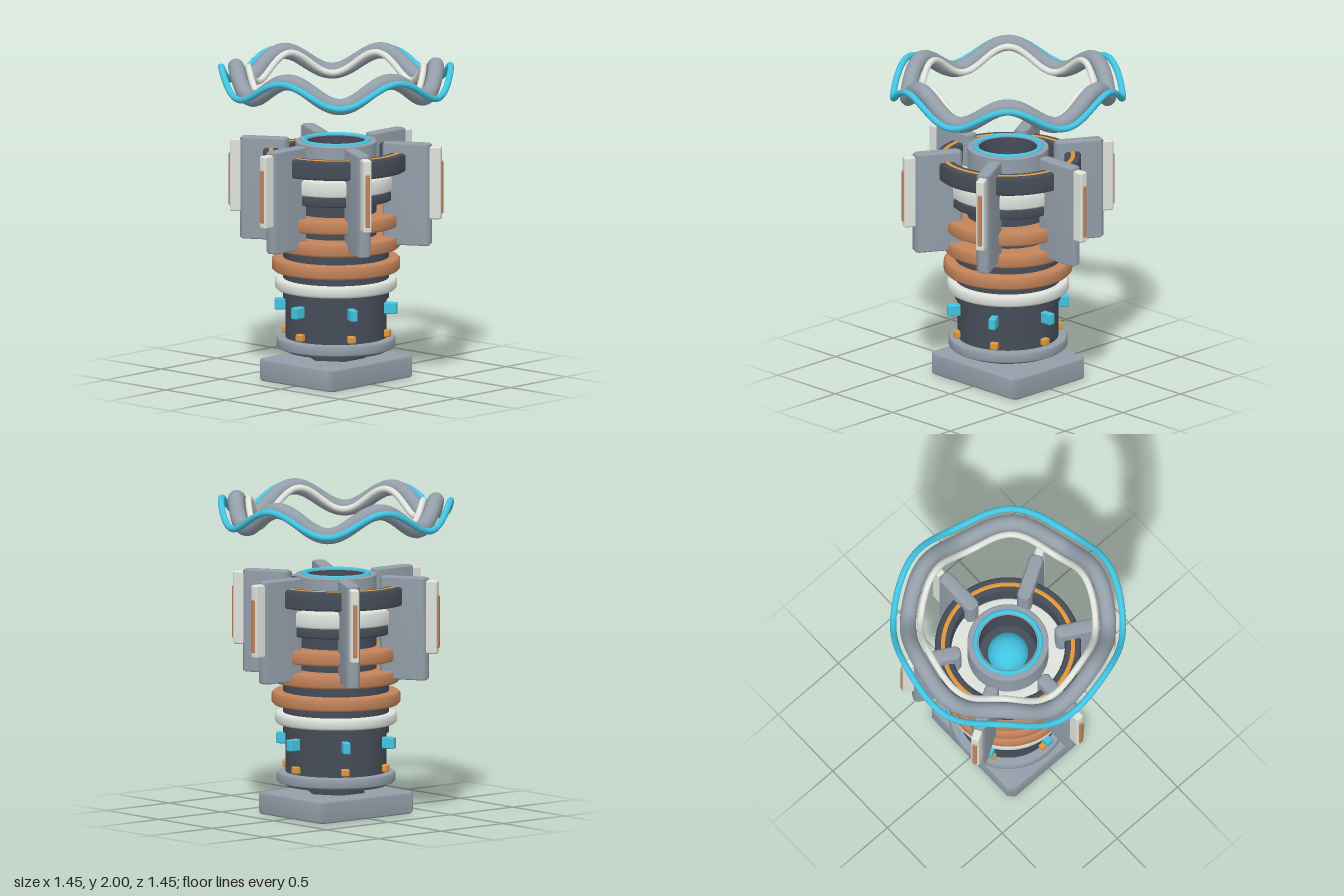
import * as THREE from 'three';
import { mergeVertices, toCreasedNormals } from 'three/addons/utils/BufferGeometryUtils.js';
import { RoundedBoxGeometry } from 'three/addons/geometries/RoundedBoxGeometry.js';

const mat = (color) => new THREE.MeshStandardMaterial({ color });
const GREY = mat(0x939ea9), DARK = mat(0x464d58), WHITE = mat(0xe0e3dc);
const COPPER = mat(0xc4845a), ORANGE = mat(0xe0983a), CYAN = mat(0x42c4e2);

// Closed wavy loop around the y axis
class WaveLoop extends THREE.Curve {
  constructor(radius) {
    super();
    this.radius = radius;
  }
  getPoint(t, target = new THREE.Vector3()) {
    const a = t * Math.PI * 2;
    return target.set(this.radius * Math.cos(a), 1.88 - 0.07 * Math.sin(6 * a), this.radius * Math.sin(a));
  }
}

// Upright block with a chamfered plan, bevelled ends and soft shading
function softBlock(plan, y0, y1, bevel) {
  const shape = new THREE.Shape(plan.map(([x, z]) => new THREE.Vector2(x, z)));
  const geometry = new THREE.ExtrudeGeometry(shape, {
    depth: y1 - y0 - 2 * bevel, bevelSize: bevel, bevelOffset: -bevel, bevelThickness: bevel, bevelSegments: 1,
  });
  geometry.rotateX(-Math.PI / 2).translate(0, y0 + bevel, 0);
  geometry.deleteAttribute('uv');
  geometry.deleteAttribute('normal');
  const soft = mergeVertices(geometry);
  soft.computeVertexNormals();
  return soft;
}

// Rectangle with cut corners, listed anticlockwise
const chamferedRect = (x0, x1, z, c) => [
  [x0 + c, -z], [x1 - c, -z], [x1, c - z], [x1, z - c],
  [x1 - c, z], [x0 + c, z], [x0, z - c], [x0, c - z],
];

export function createModel() {
  const model = new THREE.Group();
  const add = (name, geometry, material, parent = model) => {
    const mesh = new THREE.Mesh(geometry, material);
    mesh.name = name;
    parent.add(mesh);
    return mesh;
  };
  const cylinder = (name, r, y0, y1, material, sides = 64) => {
    const mesh = add(name, new THREE.CylinderGeometry(r, r, y1 - y0, sides), material);
    mesh.position.y = (y0 + y1) / 2;
    return mesh;
  };
  const lathe = (pts) => new THREE.LatheGeometry(pts.map(([x, y]) => new THREE.Vector2(x, y)), 64);
  // Solid ring with chamfered, softly shaded edges
  const band = (name, r0, r1, y0, y1, b, material) => add(name, lathe([
    [r0, y0], [r1 - b, y0], [r1, y0 + b], [r1, y1 - b], [r1 - b, y1], [r0 + b, y1], [r0, y1 - b], [r0, y0],
  ]), material);
  const torus = (name, r, tube, y, material) => {
    const mesh = add(name, new THREE.TorusGeometry(r, tube, 16, 80), material);
    mesh.rotation.x = Math.PI / 2;
    mesh.position.y = y;
  };

  // Foot block and hexagonal neck
  add('footBlock', softBlock(chamferedRect(-0.38, 0.38, 0.317, 0.035), 0, 0.135, 0.012), GREY);
  cylinder('neck', 0.185, 0.13, 0.19, DARK, 6).rotation.y = Math.PI / 2;

  // Lower drum
  cylinder('drum', 0.31, 0.18, 0.515, DARK);
  cylinder('drumCollar', 0.325, 0.51, 0.9, DARK);
  band('lowerFlange', 0.25, 0.365, 0.2, 0.265, 0.01, GREY);
  band('paleBand', 0.28, 0.375, 0.565, 0.635, 0.014, WHITE);

  // Upper column with coils and bands
  cylinder('column', 0.25, 0.89, 1.29, DARK);
  for (const y of [0.683, 0.824, 0.965]) band('copperCoil', 0.23, 0.395, y, y + 0.083, 0.014, COPPER);
  band('darkBand', 0.23, 0.36, 1.13, 1.195, 0.01, DARK);
  band('upperPaleBand', 0.23, 0.365, 1.19, 1.29, 0.014, WHITE);
  band('crownBand', 0.35, 0.45, 1.315, 1.432, 0.012, DARK);
  torus('crownTrim', 0.4, 0.026, 1.41, ORANGE);

  // Open muzzle with a recessed core
  add('muzzle', toCreasedNormals(
    lathe([[0.25, 1.28], [0.25, 1.485], [0.245, 1.49], [0.18, 1.49], [0.18, 1.3]]), 0.6), GREY);
  add('muzzleLining', toCreasedNormals(lathe([[0, 1.29], [0.179, 1.29], [0.179, 1.485]].reverse()), 0.6), DARK);
  torus('muzzleRing', 0.2, 0.015, 1.488, CYAN);
  add('core', new THREE.SphereGeometry(0.125, 32, 20), CYAN).position.y = 1.3;

  // Six fins with edge plates, and studs around the drum
  const finGeometry = softBlock(chamferedRect(0.297, 0.6, 0.045, 0.022), 0.857, 1.492, 0.01);
  const plate = new RoundedBoxGeometry(0.085, 0.455, 0.054, 2, 0.012);
  const strip = new RoundedBoxGeometry(0.04, 0.33, 0.028, 2, 0.008);
  const cyanStud = new RoundedBoxGeometry(0.085, 0.072, 0.045, 2, 0.008);
  const orangeStud = new RoundedBoxGeometry(0.05, 0.044, 0.05, 2, 0.008);
  for (let i = 0; i < 6; i++) {
    const sector = new THREE.Group();
    sector.name = 'finSector';
    sector.rotation.y = i * Math.PI / 3;
    model.add(sector);
    add('fin', finGeometry, GREY, sector);
    add('finEdgePlate', plate, WHITE, sector).position.set(0.623, 1.25, 0);
    add('finStrip', strip, COPPER, sector).position.set(0.655, 1.223, 0);
    add('drumStud', cyanStud, CYAN, sector).position.set(0.343, 0.455, 0);
    add('smallDrumStud', orangeStud, ORANGE, sector).position.set(0.318, 0.297, 0);
  }

  // Floating wavy halo of three tubes
  for (const [name, r, tube, material] of [
    ['haloCore', 0.615, 0.05, GREY],
    ['haloOuter', 0.706, 0.02, CYAN],
    ['haloInner', 0.538, 0.02, WHITE],
  ]) add(name, new THREE.TubeGeometry(new WaveLoop(r), 240, tube, 14, true), material);

  return model;
}
